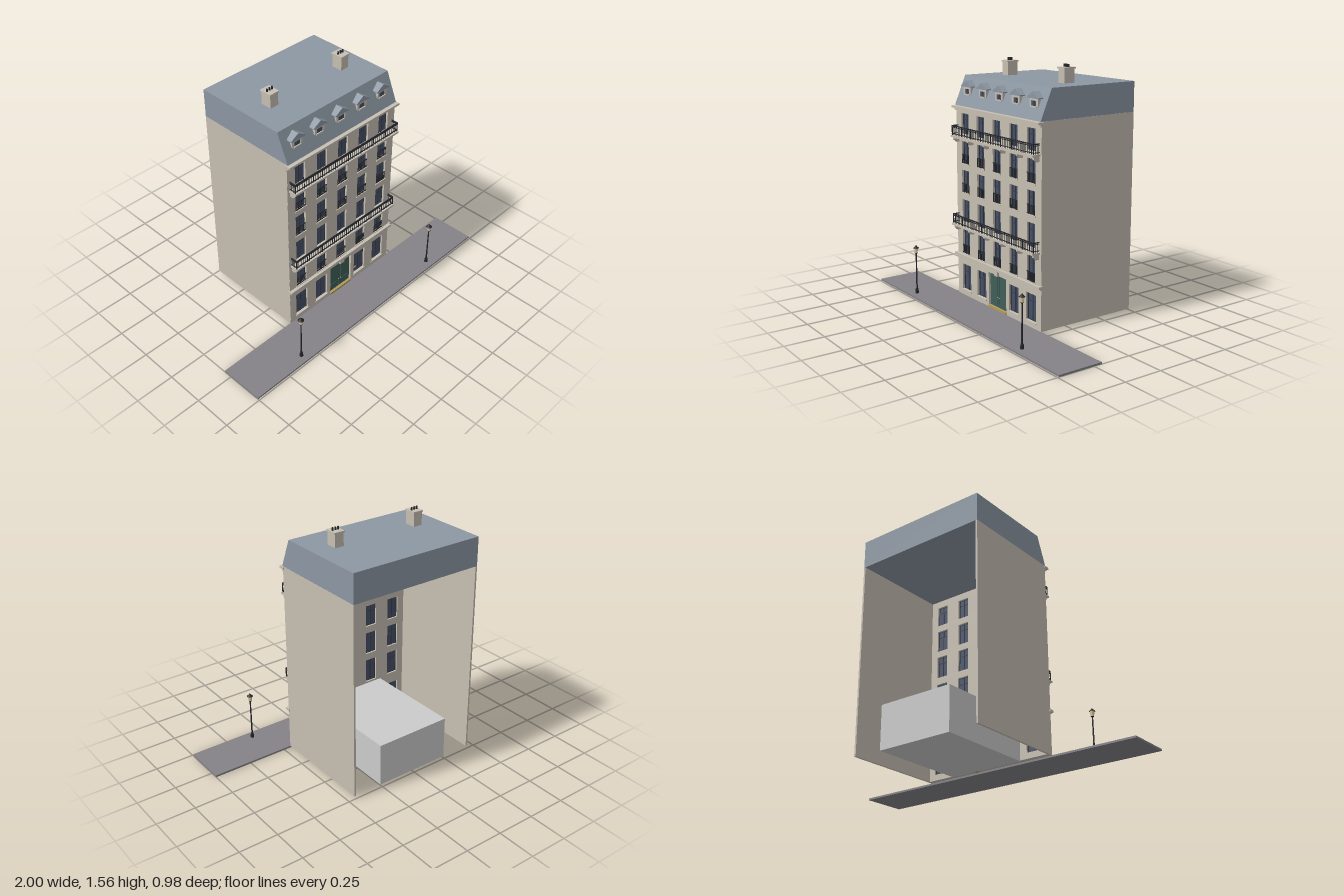
import * as THREE from 'three';

const mat = (color) => new THREE.MeshStandardMaterial({ color });
const stone = mat(0xc7bfb2), slate = mat(0x8d98a4), iron = mat(0x25272d), glass = mat(0x465066),
  frameMat = mat(0x363d4b), doorMat = mat(0x3f5f58), paving = mat(0x848287), brass = mat(0xb09a5a),
  lampGlass = mat(0xe6cf9f), grey = mat(0xcccccc);

function add(parent, name, geometry, material, x = 0, y = 0, z = 0) {
  const m = new THREE.Mesh(geometry, material);
  m.name = name;
  m.position.set(x, y, z);
  parent.add(m);
  return m;
}

// Box given by its lower and upper limits on each axis
function box(parent, name, material, x0, x1, y0, y1, z0, z1) {
  return add(parent, name, new THREE.BoxGeometry(x1 - x0, y1 - y0, z1 - z0), material,
    (x0 + x1) / 2, (y0 + y1) / 2, (z0 + z1) / 2);
}

function group(parent, name, x = 0, y = 0, z = 0) {
  const g = new THREE.Group();
  g.name = name;
  g.position.set(x, y, z);
  parent.add(g);
  return g;
}

// Prism along x from a profile of [z, y] points
function prismX(profile, width) {
  const shape = new THREE.Shape(profile.map(([z, y]) => new THREE.Vector2(-z, y)));
  return new THREE.ExtrudeGeometry(shape, { depth: width, bevelEnabled: false })
    .translate(0, 0, -width / 2).rotateY(Math.PI / 2);
}

const HALF = 0.453, FRONT = 0.2, BACK = -0.49, INNER = 0.165, BASE = 0.012, EAVES = 1.26;
const columns = [-0.352, -0.176, 0, 0.176, 0.352];
const floors = [
  { y0: 0.297, y1: 0.457, guard: true }, { y0: 0.505, y1: 0.655 },
  { y0: 0.703, y1: 0.848, guard: true }, { y0: 0.892, y1: 1.035, guard: true }, { y0: 1.08, y1: 1.213 },
];

function openings() {
  const list = [];
  for (const x of columns) {
    if (x) list.push({ x, w: 0.1, y0: 0.05, y1: 0.222 });
    for (const f of floors) list.push({ x, w: 0.082, ...f });
  }
  return list;
}

// Front wall with its window and door openings, and the side walls
function walls(parent) {
  const rect = (P, x0, x1, y0, y1) => new P()
    .moveTo(x0, y0).lineTo(x1, y0).lineTo(x1, y1).lineTo(x0, y1).closePath();
  const shape = rect(THREE.Shape, -HALF, HALF, BASE, EAVES);
  for (const o of openings()) shape.holes.push(rect(THREE.Path, o.x - o.w / 2, o.x + o.w / 2, o.y0, o.y1));
  shape.holes.push(rect(THREE.Path, -0.096, 0.096, 0.014, 0.24));
  add(parent, 'frontWall', new THREE.ExtrudeGeometry(shape, { depth: FRONT - INNER, bevelEnabled: false }),
    stone, 0, 0, INNER);
  for (const s of [-1, 1])
    add(parent, 'sideWall', new THREE.BoxGeometry(0.012, EAVES - BASE, FRONT - BACK - 0.001), stone,
      s * (HALF - 0.005), (EAVES + BASE) / 2, (FRONT + BACK) / 2);
}

// Two-leaf window, with sill and optional iron guard
function windowUnit(parent, o) {
  const g = group(parent, 'window', o.x, o.y0, 0);
  const h = o.y1 - o.y0, w = o.w / 2;
  box(g, 'windowPane', glass, -w, w, 0, h, 0.178, 0.182);
  for (const x of [-w + 0.003, 0, w - 0.003])
    box(g, 'windowStile', frameMat, x - 0.003, x + 0.003, 0, h, 0.175, 0.187);
  for (const y of [0.003, h * 0.7, h - 0.003])
    box(g, 'windowRail', frameMat, -w, w, y - 0.0025, y + 0.0025, 0.176, 0.186);
  box(g, 'windowSill', stone, -w - 0.006, w + 0.006, -0.008, 0, FRONT - 0.01, FRONT + 0.005);
  if (!o.guard) return;
  for (const y of [0.006, 0.057]) box(g, 'guardRail', iron, -w, w, y - 0.002, y + 0.002, 0.196, 0.201);
  for (let i = 0; i <= 8; i++) {
    const x = -w + 0.003 + i * (o.w - 0.006) / 8;
    box(g, 'guardBar', iron, x - 0.0012, x + 0.0012, 0, 0.057, 0.197, 0.2);
  }
}

// Double entrance door with step, knobs, keystone and bell plate
function entrance(parent) {
  const g = group(parent, 'entrance');
  box(g, 'doorstep', brass, -0.096, 0.096, BASE, 0.027, INNER, FRONT + 0.004);
  for (const s of [-1, 1]) {
    const leaf = group(g, 'doorLeaf', s * 0.048);
    box(leaf, 'doorPanel', doorMat, -0.047, 0.047, 0.027, 0.24, 0.175, 0.186);
    box(leaf, 'lowerPanel', doorMat, -0.034, 0.034, 0.04, 0.08, 0.186, 0.189);
    box(leaf, 'upperPanel', doorMat, -0.034, 0.034, 0.105, 0.225, 0.186, 0.189);
    add(g, 'doorKnob', new THREE.SphereGeometry(0.004, 10, 8), brass, s * 0.01, 0.092, 0.191);
  }
  box(g, 'keystone', stone, -0.018, 0.018, 0.24, 0.272, FRONT - 0.01, 0.214);
  box(g, 'bellPlate', brass, 0.126, 0.144, 0.105, 0.116, FRONT, 0.205);
}

// Full-width balcony on brackets with an iron railing
function balcony(parent, y) {
  const g = group(parent, 'balcony', 0, y, 0);
  const w = 0.44, zf = 0.244;
  box(g, 'balconySlab', stone, -w, w, -0.012, 0, FRONT, 0.254);
  box(g, 'slabMoulding', stone, -w + 0.01, w - 0.01, -0.018, -0.012, FRONT, 0.244);
  for (const x of [-0.425, -0.264, -0.088, 0.088, 0.264, 0.425])
    add(g, 'bracket', prismX([[FRONT, -0.045], [0.222, -0.045], [0.24, -0.028], [0.24, -0.012], [FRONT, -0.012]], 0.015),
      stone, x);
  for (const [ry, t] of [[0.01, 0.0018], [0.05, 0.0015], [0.06, 0.003]]) {
    box(g, 'frontRail', iron, -w + 0.004, w - 0.004, ry - t, ry + t, zf - 0.003, zf + 0.003);
    for (const s of [-1, 1])
      add(g, 'sideRail', new THREE.BoxGeometry(0.005, t * 2, zf - FRONT), iron, s * (w - 0.006), ry, (zf + FRONT) / 2);
  }
  for (let i = 0; i <= 48; i++) {
    const x = (i / 24 - 1) * (w - 0.006), t = i % 6 ? 0.0012 : 0.0025;
    box(g, 'baluster', iron, x - t, x + t, 0, 0.06, zf - t, zf + t);
  }
  for (const s of [-1, 1]) for (const z of [0.212, 0.228])
    add(g, 'sideBaluster', new THREE.BoxGeometry(0.0025, 0.06, 0.0025), iron, s * (w - 0.006), 0.03, z);
}

// Gabled dormer on the roof slope
function dormer(parent, x) {
  const g = group(parent, 'dormer', x);
  for (const s of [-1, 1])
    add(g, 'dormerCheek', new THREE.BoxGeometry(0.016, 0.05, 0.045), stone, s * 0.032, 1.36, 0.16);
  box(g, 'dormerLintel', stone, -0.04, 0.04, 1.367, 1.385, 0.14, 0.1825);
  box(g, 'dormerSill', stone, -0.028, 0.028, 1.328, 1.336, 0.14, 0.186);
  box(g, 'dormerPane', glass, -0.025, 0.025, 1.336, 1.367, 0.14, 0.179);
  box(g, 'dormerMullion', frameMat, -0.002, 0.002, 1.336, 1.367, 0.17, 0.181);
  const gable = new THREE.Shape([[-0.055, 1.38], [0.055, 1.38], [0.055, 1.386], [0, 1.42], [-0.055, 1.386]]
    .map(([a, b]) => new THREE.Vector2(a, b)));
  add(g, 'dormerRoof', new THREE.ExtrudeGeometry(gable, { depth: 0.054, bevelEnabled: false }), slate, 0, 0, 0.136);
}

function chimney(parent, x) {
  const g = group(parent, 'chimney', x, 0, -0.103);
  box(g, 'chimneyStack', stone, -0.03, 0.03, 1.44, 1.53, -0.037, 0.037);
  box(g, 'chimneyCap', stone, -0.035, 0.035, 1.528, 1.538, -0.042, 0.042);
  for (const px of [-0.019, 0, 0.019])
    add(g, 'chimneyPot', new THREE.CylinderGeometry(0.005, 0.006, 0.018, 10), iron, px, 1.547, 0);
}

function streetLamp(parent, x) {
  const g = group(parent, 'streetLamp', x, 0, 0.438);
  const part = (name, m, top, bottom, y0, y1, sides = 12) =>
    add(g, name, new THREE.CylinderGeometry(top, bottom, y1 - y0, sides), m, 0, (y0 + y1) / 2, 0);
  part('lampBase', iron, 0.009, 0.012, 0.012, 0.042);
  part('lampPost', iron, 0.004, 0.005, 0.042, 0.285);
  part('lampCollar', iron, 0.011, 0.006, 0.281, 0.287);
  part('lantern', lampGlass, 0.015, 0.01, 0.287, 0.32, 6);
  part('lampHood', iron, 0.003, 0.02, 0.319, 0.335);
  part('lampFinial', iron, 0.001, 0.003, 0.335, 0.341);
}

export function createModel() {
  const model = new THREE.Group();
  model.name = 'townhouse';
  box(model, 'pavement', paving, -1, 1, 0, BASE, 0.197, 0.49);

  // Facade
  const facade = group(model, 'building');
  walls(facade);
  for (const o of openings()) windowUnit(facade, o);
  entrance(facade);
  box(facade, 'stringCourse', stone, -0.46, 0.46, 0.277, 0.292, FRONT - 0.01, 0.222);
  box(facade, 'stringCourseMoulding', stone, -0.455, 0.455, 0.268, 0.277, FRONT - 0.01, 0.211);
  box(facade, 'cornice', stone, -0.46, 0.46, 1.243, 1.257, FRONT - 0.01, 0.23);
  box(facade, 'corniceMoulding', stone, -0.455, 0.455, 1.228, 1.243, FRONT - 0.01, 0.212);
  balcony(facade, 0.495);
  balcony(facade, 1.072);

  // Entrance hall block behind the door
  box(model, 'hall', grey, -0.254, 0.254, 0.008, 0.285, -0.485, INNER);

  // Roof
  const roof = group(model, 'roof');
  add(roof, 'mansardRoof', prismX([[0.208, EAVES], [0.13, 1.445], [BACK, 1.445], [BACK, EAVES]], HALF * 2), slate);
  for (const x of columns) dormer(roof, x);
  for (const s of [-1, 1]) {
    chimney(roof, s * 0.288);
    streetLamp(model, s * 0.594);
  }
  return model;
}
